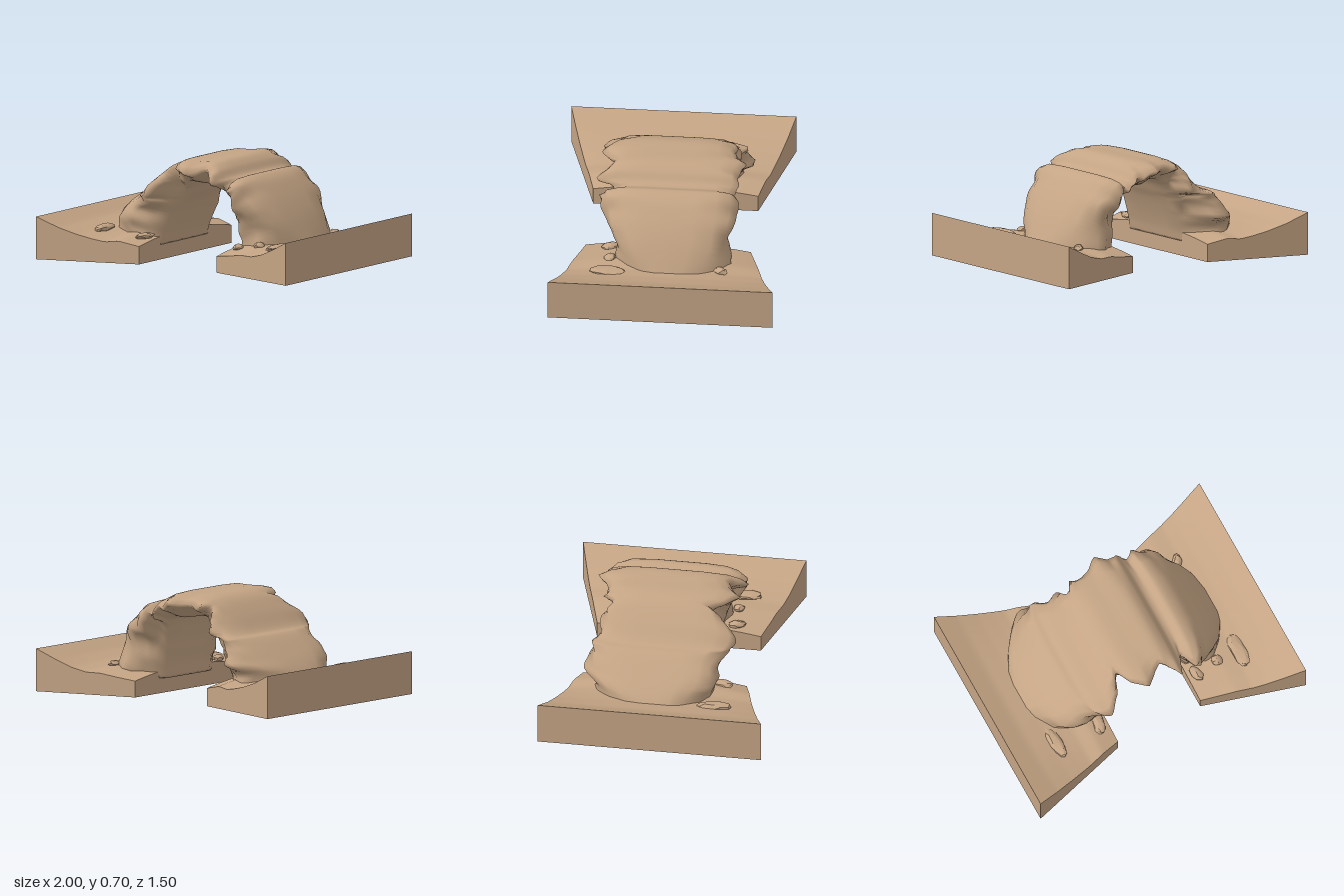
import * as THREE from 'three';

const rock = new THREE.MeshStandardMaterial({ color: 0xc4a484 });
const pebbleRock = new THREE.MeshStandardMaterial({ color: 0xc4a484, flatShading: true });

// linear lookup in a list of [x, value] pairs
function lookup(table, x) {
  if (x <= table[0][0]) return table[0][1];
  for (let i = 1; i < table.length; i++) {
    const [x0, a] = table[i - 1], [x1, b] = table[i];
    if (x <= x1) return a + (b - a) * (x - x0) / (x1 - x0);
  }
  return table[table.length - 1][1];
}

const spline = pts => new THREE.CatmullRomCurve3(pts.map(([x, y]) => new THREE.Vector3(x, y, 0)));

// paired points over the top and along the underside of the arch
const outer = spline([[-0.8, 0.14], [-0.7, 0.26], [-0.6, 0.35], [-0.48, 0.44], [-0.41, 0.46], [-0.3, 0.575],
  [-0.2, 0.66], [-0.12, 0.69], [0, 0.695], [0.14, 0.695], [0.2, 0.66], [0.25, 0.605], [0.29, 0.595],
  [0.35, 0.615], [0.42, 0.585], [0.5, 0.5], [0.6, 0.36], [0.72, 0.14]]);
const inner = spline([[-0.31, 0.1], [-0.29, 0.18], [-0.25, 0.29], [-0.21, 0.38], [-0.18, 0.43], [-0.14, 0.5],
  [-0.1, 0.54], [-0.05, 0.55], [0.03, 0.54], [0.12, 0.53], [0.18, 0.53], [0.21, 0.51], [0.23, 0.47],
  [0.245, 0.42], [0.26, 0.36], [0.27, 0.28], [0.28, 0.2], [0.28, 0.1]]);

// ragged front and back edges, as reach in z along x
const frontReach = [[-0.8, 0.15], [-0.77, 0.17], [-0.7, 0.25], [-0.62, 0.35], [-0.5, 0.36], [-0.4, 0.43], [-0.32, 0.46],
  [-0.22, 0.4], [-0.18, 0.28], [-0.13, 0.38], [-0.03, 0.45], [0.05, 0.38], [0.1, 0.36], [0.15, 0.4], [0.21, 0.47],
  [0.27, 0.32], [0.33, 0.45], [0.42, 0.4], [0.5, 0.38], [0.6, 0.32], [0.66, 0.25], [0.72, 0.15]];
const backReach = [[-0.8, 0.17], [-0.77, 0.2], [-0.7, 0.33], [-0.6, 0.42], [-0.5, 0.49], [-0.42, 0.515], [-0.36, 0.45],
  [-0.3, 0.4], [-0.24, 0.45], [-0.19, 0.37], [-0.15, 0.44], [-0.06, 0.4], [0, 0.42], [0.07, 0.49], [0.15, 0.44],
  [0.22, 0.45], [0.28, 0.4], [0.33, 0.45], [0.42, 0.44], [0.5, 0.42], [0.6, 0.4], [0.66, 0.34], [0.72, 0.22]];

// half cross-section: [depth from top to underside, share of the reach]
const half = [[0, 0.42], [0.04, 0.75], [0.17, 0.93], [0.36, 1], [0.52, 0.95], [0.7, 0.82], [0.86, 0.75], [1, 0.65], [1, 0.3]];
const ring = [[0, 0], ...half, [1, 0], ...half.slice().reverse().map(([t, f]) => [t, -f])];

function archGeometry() {
  const steps = 100, n = ring.length, pos = [], index = [];
  for (let i = 0; i <= steps; i++) {
    const o = outer.getPoint(i / steps), q = inner.getPoint(i / steps);
    for (const [t, f] of ring) {
      // ledges wander up and down along the sides
      const side = Math.sin(Math.PI * t) * Math.abs(f);
      const wander = side * (0.09 * Math.sin(i * 0.45 + (f > 0 ? 0 : 2)) + 0.05 * Math.sin(i * 0.83));
      const p = o.clone().lerp(q, t + wander);
      let reach = lookup(f > 0 ? frontReach : backReach, p.x);
      reach *= 1 + 0.06 * side * Math.sin(p.y * 22 + p.x * 9);
      if (f > 0 && p.x > 0 && p.y < 0.38) reach *= 1 - 0.6 * (0.38 - p.y);
      pos.push(p.x, p.y, f * reach);
    }
  }
  for (let i = 0; i < steps; i++) {
    for (let j = 0; j < n; j++) {
      const a = i * n + j, b = i * n + (j + 1) % n;
      index.push(a, b, a + n, b, b + n, a + n);
    }
  }
  // close both feet
  for (let j = 1; j < n - 1; j++) {
    const e = steps * n;
    index.push(0, j + 1, j, e, e + j, e + j + 1);
  }
  const g = new THREE.BufferGeometry();
  g.setAttribute('position', new THREE.Float32BufferAttribute(pos, 3));
  g.setIndex(index);
  g.computeVertexNormals();
  return g;
}

// ground height by distance from the gap (u: 0 inner edge, 1 outer edge)
const slope = {
  '-1': [[0, 0.12], [0.1, 0.135], [0.2, 0.15], [0.33, 0.14], [0.45, 0.155], [0.6, 0.18], [0.78, 0.22], [1, 0.287]],
  '1': [[0, 0.11], [0.2, 0.13], [0.35, 0.148], [0.5, 0.15], [0.64, 0.175], [0.78, 0.215], [1, 0.287]],
};
function ground(side, u, z) {
  const w = z / (0.55 + 0.2 * u);
  const hump = 0.05 * Math.max(0, Math.cos(u * 1.9)) * (1 - w * w);
  return lookup(slope[side], u) + hump;
}

// bank: a box flared outwards with a rolling top
function bankGeometry(side) {
  const g = new THREE.BoxGeometry(1, 1, 1, 32, 1, 32), p = g.attributes.position;
  for (let i = 0; i < p.count; i++) {
    const u = 0.5 + side * p.getX(i), z = p.getZ(i) * 2 * (0.55 + 0.2 * u);
    p.setXYZ(i, side * (0.31 + 0.69 * u), p.getY(i) > 0 ? ground(side, u, z) : 0, z);
  }
  g.computeVertexNormals();
  return g;
}

export function createModel() {
  const model = new THREE.Group();
  const add = (name, geometry, material = rock) => {
    const mesh = new THREE.Mesh(geometry, material);
    mesh.name = name;
    model.add(mesh);
    return mesh;
  };

  add('stoneArch', archGeometry());
  add('leftBank', bankGeometry(1));
  add('rightBank', bankGeometry(-1));

  // loose stones: x, z, half width, half height, half length, turn
  [[-0.69, 0.39, 0.045, 0.025, 0.12, 0.08], [0.69, 0.38, 0.053, 0.02, 0.125, 0],
    [-0.37, 0.39, 0.04, 0.022, 0.08, -0.2], [0.37, 0.38, 0.035, 0.025, 0.06, 0.3],
    [0.53, 0.37, 0.035, 0.025, 0.04, 0.5], [0.63, -0.37, 0.03, 0.025, 0.05, -0.4]].forEach(([x, z, a, b, c, turn], k) => {
    const g = new THREE.IcosahedronGeometry(1, 1), p = g.attributes.position;
    for (let i = 0; i < p.count; i++) {
      const s = 1 + 0.1 * Math.sin(p.getX(i) * 3 + p.getY(i) * 5 + p.getZ(i) * 4 + k);
      p.setXYZ(i, p.getX(i) * a * s, p.getY(i) * b * s, p.getZ(i) * c * s);
    }
    g.computeVertexNormals();
    const stone = add('looseStone', g, pebbleRock);
    stone.position.set(x, ground(Math.sign(x), (Math.abs(x) - 0.31) / 0.69, z) + 0.006, z);
    stone.rotation.y = turn;
  });
  return model;
}
